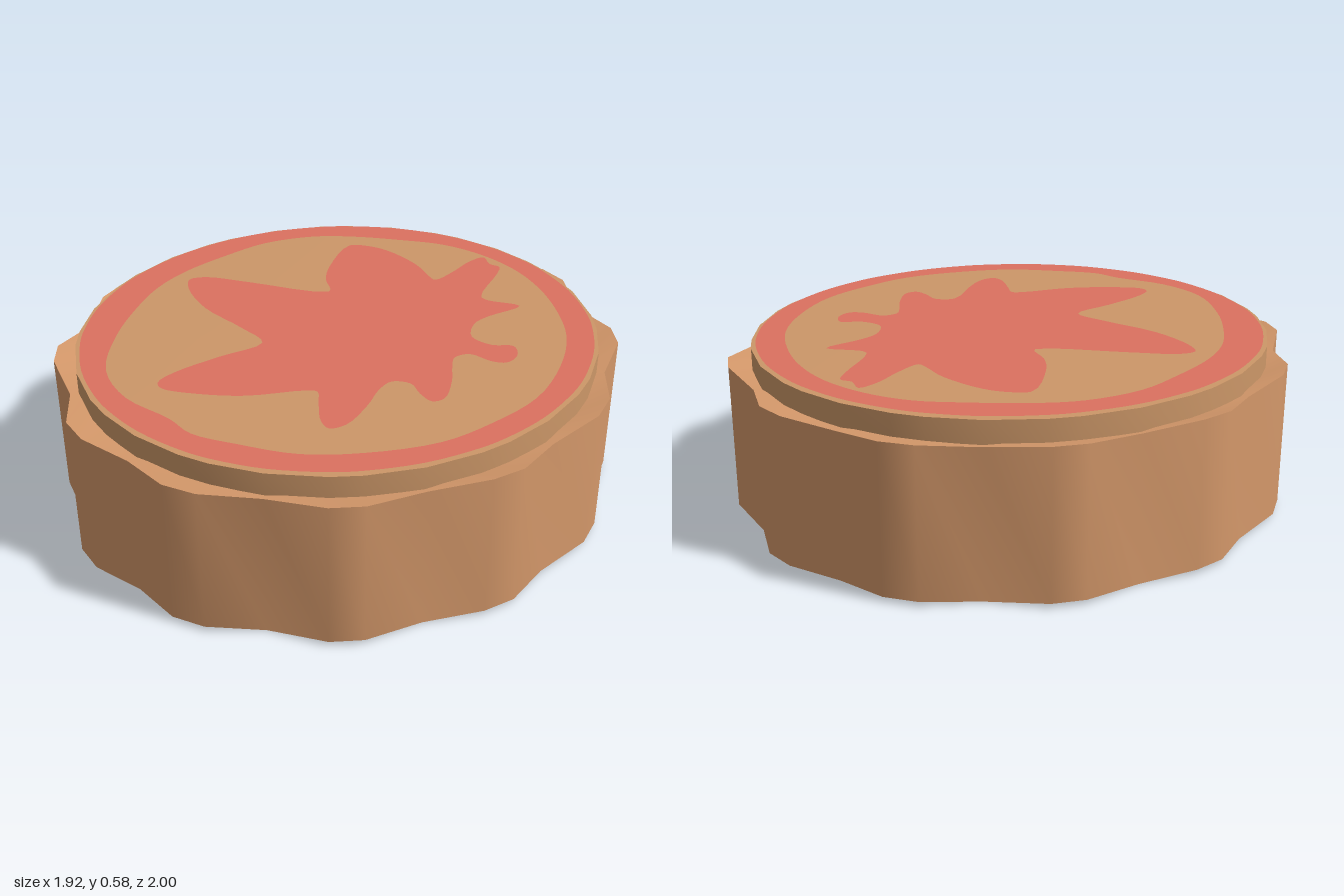
import * as THREE from 'three';
import { toCreasedNormals } from 'three/addons/utils/BufferGeometryUtils.js';

// Half of the scalloped outline in hundredths (x, z); each lobe is two crest points and a valley.
const HALF = [4.5, -100, 16, -99.5, 33, -90, 51, -87, 60.6, -80.4, 70.6, -62.4,
  86, -48, 90.7, -38, 90.2, -18.5, 96, 1, 95, 13, 85, 32,
  81, 51, 74, 60, 57, 71, 44, 87, 34, 92, 13.5, 92.6];

// Inner edge of the painted ring
const RING_INNER = [11, -81, 27, -78, 43, -70, 56, -58, 67, -42, 75, -24, 78, -3, 76, 20, 67, 40,
  56, 56, 37, 70, 19, 78, 0, 80, -16, 80, -26, 75, -45, 69, -60, 56, -69, 34, -73, 13, -74, -5,
  -71, -21, -63, -40, -54, -56, -39, -69, -24, -75, -5, -79];

// Splash in the middle
const SPLASH = [-22, -66, -16, -68, -7, -67, 8, -59, 16, -51, 19, -49, 23, -58, 26, -69, 30, -75,
  34, -70, 38, -69, 39, -63, 39, -42, 42, -40, 54, -40, 46, -28, 43, -21, 45, -11, 53, -8, 60, -10,
  63, -4, 61, 2, 56, 3, 48, 1, 44, 5, 45, 11, 48, 21, 49, 32, 46, 35, 41, 32, 36, 27, 30, 28,
  28, 34, 28, 45, 26, 58, 22, 62, 18, 59, 13, 49, 10, 43, 6, 44, -10, 54, -26, 59, -37, 60,
  -40, 57, -38, 49, -29, 34, -20, 20, -31, 13, -50, 4, -63, -8, -66, -15, -61, -19, -45, -21,
  -14, -25, -19, -34, -22, -45];

const pairs = (list) => {
  const out = [];
  for (let i = 0; i < list.length; i += 2) out.push(new THREE.Vector2(list[i] / 100, list[i + 1] / 100));
  return out;
};

// Closed smooth curve through the points, in shape space (y = -z)
const smooth = (points) => new THREE.CatmullRomCurve3(
  points.map((p) => new THREE.Vector3(p.x, -p.y, 0)), true, 'centripetal',
).getPoints(points.length * 4).slice(0, -1).map((p) => new THREE.Vector2(p.x, p.y));

// Skin over a stack of rings with equal point counts, listed from the bottom up
function loft(rings, crease) {
  const pos = [];
  const tri = (a, b, c) => pos.push(...a.toArray(), ...b.toArray(), ...c.toArray());
  for (let k = 0; k + 1 < rings.length; k++) {
    const lo = rings[k], hi = rings[k + 1];
    for (let j = 0; j < lo.length; j++) {
      const n = (j + 1) % lo.length;
      if (!hi[j].equals(hi[n])) tri(lo[j], hi[j], hi[n]);
      if (!lo[j].equals(lo[n])) tri(lo[j], hi[n], lo[n]);
    }
  }
  const g = new THREE.BufferGeometry();
  g.setAttribute('position', new THREE.Float32BufferAttribute(pos, 3));
  return toCreasedNormals(g, crease);
}

export function createModel() {
  const crust = new THREE.MeshStandardMaterial({ color: 0xd4986a });
  crust.name = 'crust tan';
  const filling = new THREE.MeshStandardMaterial({ color: 0xcc9768 });
  filling.name = 'filling tan';
  const red = new THREE.MeshStandardMaterial({ color: 0xdb7160 });
  red.name = 'berry red';

  const group = new THREE.Group();
  const add = (name, geometry, material) => {
    const mesh = new THREE.Mesh(geometry, material);
    mesh.name = name;
    group.add(mesh);
  };

  const half = pairs(HALF);
  const outline = [...half, ...half.map((p) => p.clone().negate())];
  // Slightly oval disc with one point for every outline point
  const disc = outline.map((p) => {
    const a = Math.atan2(p.x, -p.y);
    const r = 0.903 + 0.02 * Math.cos(2 * (a - 0.35));
    return new THREE.Vector2(r * Math.sin(a), -r * Math.cos(a));
  });
  const ring = (points, y, lift = 0, scale = 1) => points.map((p, i) =>
    new THREE.Vector3(p.x * scale, y + (i % 3 === 2 ? 0 : lift), p.y * scale));

  // Scalloped body: crests sit a little higher than valleys
  add('scallopedBody', loft([
    ring(outline, 0.01, 0, 0),
    ring(outline, 0, 0.015),
    ring(outline, 0.5, 0.018),
    ring(disc, 0.495, 0, 0.97),
  ], 0.65), crust);

  // Raised disc on top
  add('topDisc', loft([
    ring(disc, 0.49),
    ring(disc, 0.575),
    ring(disc, 0.579, 0, 0),
  ], 0.5), filling);

  // Painted ring and splash as thin faces
  const ringShape = new THREE.Shape(smooth(disc.map((p) => p.clone().multiplyScalar(0.982))));
  ringShape.holes.push(new THREE.Path(smooth(pairs(RING_INNER))));
  const splashShape = new THREE.Shape(smooth(pairs(SPLASH)));
  add('redRing', new THREE.ShapeGeometry(ringShape).rotateX(-Math.PI / 2).translate(0, 0.581, 0), red);
  add('redSplash', new THREE.ShapeGeometry(splashShape).rotateX(-Math.PI / 2).translate(0, 0.584, 0), red);

  return group;
}
